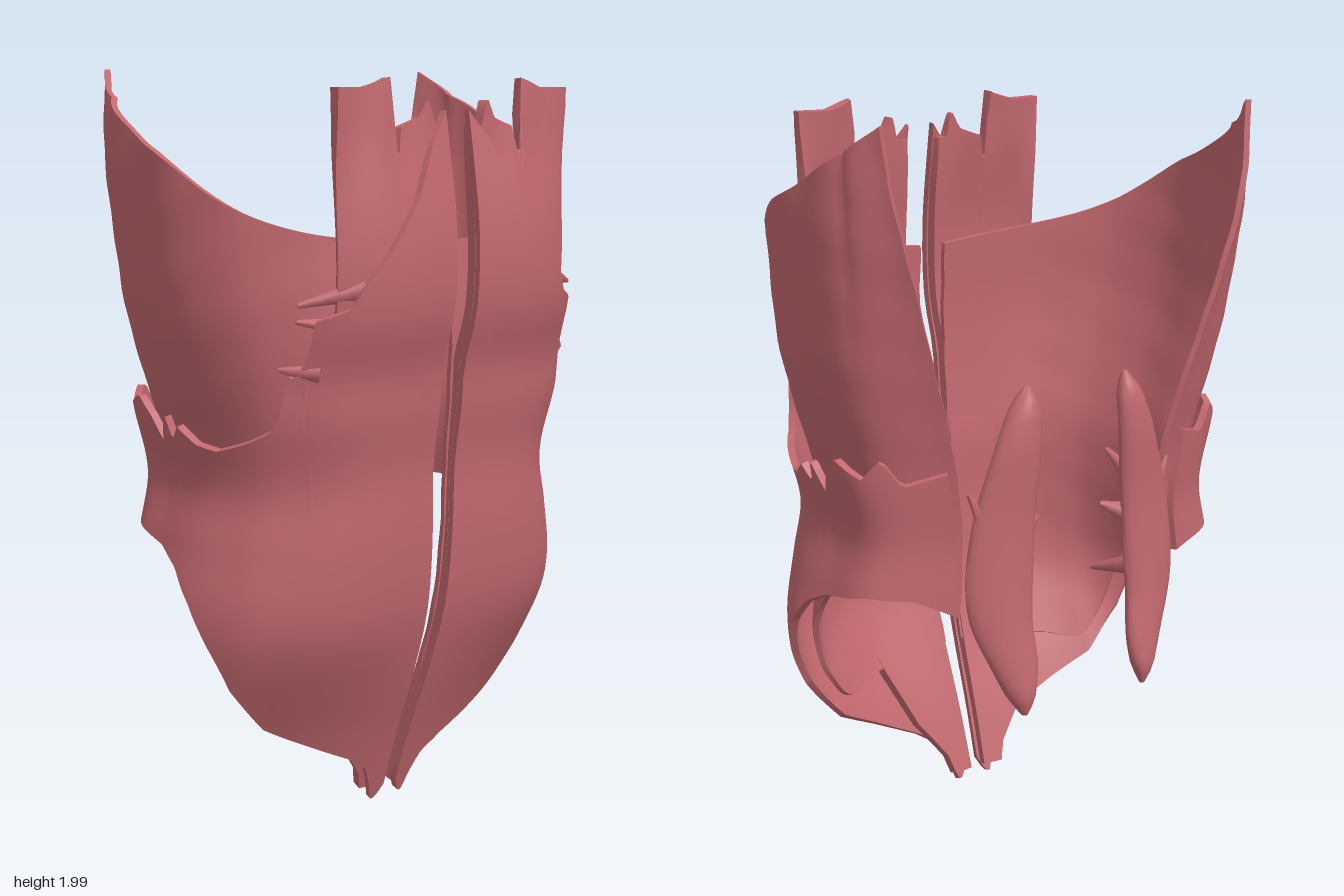
import * as THREE from 'three';
import { toCreasedNormals } from 'three/addons/utils/BufferGeometryUtils.js';

const { lerp, smoothstep } = THREE.MathUtils;

// Interpolate [key, value] knots, straight or smooth
function lerpKnots(knots, t, curved = false) {
  const n = knots.length - 1;
  if (t <= knots[0][0]) return knots[0][1];
  if (t >= knots[n][0]) return knots[n][1];
  let i = 0;
  while (t > knots[i + 1][0]) i++;
  const [a, p] = knots[i], [b, q] = knots[i + 1], h = b - a, s = (t - a) / h;
  if (!curved) return p + (q - p) * s;
  const slope = j => {
    const l = knots[Math.max(j - 1, 0)], r = knots[Math.min(j + 1, n)];
    return (r[1] - l[1]) / (r[0] - l[0]) * h;
  };
  const s2 = s * s, s3 = s2 * s;
  return (2 * s3 - 3 * s2 + 1) * p + (s3 - 2 * s2 + s) * slope(i)
    + (3 * s2 - 2 * s3) * q + (s3 - s2) * slope(i + 1);
}
const smooth = (knots, t) => lerpKnots(knots, t, true);

// Closed sheet of even thickness over point(u, v)
function slab(point, thickness, nu, nv) {
  const outer = [], index = [], w = nv + 1, count = (nu + 1) * w;
  for (let i = 0; i <= nu; i++)
    for (let j = 0; j <= nv; j++) outer.push(...point(i / nu, j / nv));
  for (let i = 0; i < nu; i++)
    for (let j = 0; j < nv; j++) {
      const a = i * w + j, b = a + w, c = b + 1, d = a + 1;
      index.push(a, b, c, a, c, d);
    }
  const face = new THREE.BufferGeometry();
  face.setAttribute('position', new THREE.Float32BufferAttribute(outer, 3));
  face.setIndex(index);
  face.computeVertexNormals();
  const normal = face.attributes.normal.array;
  const inner = outer.map((c, i) => c - normal[i] * thickness);
  const all = index.slice();
  for (let i = 0; i < index.length; i += 3)
    all.push(index[i] + count, index[i + 2] + count, index[i + 1] + count);
  const rim = (a, b) => all.push(a, a + count, b + count, a, b + count, b);
  for (let i = 0; i < nu; i++) {
    rim(i * w, (i + 1) * w);
    rim((i + 1) * w + nv, i * w + nv);
  }
  for (let j = 0; j < nv; j++) {
    rim(j + 1, j);
    rim(nu * w + j, nu * w + j + 1);
  }
  const g = new THREE.BufferGeometry();
  g.setAttribute('position', new THREE.Float32BufferAttribute(outer.concat(inner), 3));
  g.setIndex(all);
  return g;
}

// Body section from front midline (0) round the side (5) to the back (8)
const sectionX = [[0, 0], [1, .3], [2, .55], [3, .75], [4, .9], [5, 1], [6, 1], [7, .94], [8, .6]];
const sectionZ = [[0, .96], [1, 1], [2, .94], [3, .77], [4, .54], [5, .15], [6, -.25], [7, -.67], [8, -.94]];
const frontZ = [[0, .13], [.2, .2], [.4, .28], [.6, .345], [.8, .368], [1, .372], [1.15, .397], [1.25, .405],
  [1.4, .452], [1.6, .458], [1.8, .428], [2, .39]];
const midX = y => .02 + .018 * Math.min(y, 1);
// The low belly edge curls backward away from the midline
const curl = (cx, y) => .055 * Math.min(1, cx / .75) * (1 - smoothstep(y, .25, .6));

// Outer flank and belly sheet
const outerX = [[0, .45], [.15, .5], [.3, .56], [.48, .595], [.65, .605], [.8, .575], [.95, .545], [1.15, .59], [1.4, .6], [2, .6]];
const outerTop = [[0, 1.9], [.35, 1.82], [.75, 1.69], [1.4, 1.56], [1.9, 1.48], [2.1, 1.43], [2.75, 1.4], [2.8, 1.3],
  [2.95, 1.26], [3.1, 1.26], [3.25, 1.17], [3.5, 1.12], [4, 1.09], [4.6, 1.06], [5, 1.07], [5.4, 1.11], [5.65, 1.07],
  [5.75, 1.14], [6, 1.06], [6.2, 1.12], [6.5, 1.17], [7, 1.13], [7.3, 1.18], [7.5, 1.11], [8, 1.14]];
const outerBottom = [[0, .05], [.12, .02], [.25, 0], [.4, .07], [.55, .12], [1, .165], [2, .235], [3, .3], [4, .43],
  [4.6, .56], [5, .66], [5.5, .74], [6, .78], [7, .815], [8, .8]];
function outerPoint(u, v) {
  const k = u * 8;
  const y = lerp(lerpKnots(outerBottom, k), lerpKnots(outerTop, k), v);
  const m = midX(y), cx = smooth(sectionX, k), cz = smooth(sectionZ, k);
  return [m + cx * (smooth(outerX, y) - m), y,
    cz > 0 ? cz * smooth(frontZ, y) - curl(cx, y) * Math.min(1, cz * 3) : cz * .39];
}

// Inner wall, rising to the high back corner
const innerX = [[.4, .53], [.6, .535], [.8, .5], [1, .495], [1.2, .55], [1.4, .6], [1.6, .62], [1.8, .63], [2, .62]];
const innerZ = [[.3, .21], [.4, .245], [.6, .305], [.8, .33], [1, .335], [1.2, .35], [1.4, .355], [1.6, .345], [2, .34]];
const innerBackZ = [[.7, .36], [1.05, .365], [1.35, .4], [1.7, .43], [2, .4]];
const innerTop = [[0, 1.57], [2, 1.6], [3, 1.63], [4, 1.68], [5, 1.77], [6, 1.84], [7, 1.93], [8, 2]];
const innerBottom = [[0, .4], [2, .37], [3, .36], [4, .47], [5, .69], [6, .79], [7, .81], [8, .74]];
function innerPoint(u, v) {
  const k = u * 8;
  const y = lerp(smooth(innerBottom, k), smooth(innerTop, k), v);
  const m = midX(y), cx = smooth(sectionX, k), cz = smooth(sectionZ, k);
  const widen = .28 * smoothstep(y, 1.1, 2.1) * Math.max(0, k - 7);
  const ripple = .0015 * Math.sin(y * 40 + k * 2);
  return [m + (cx + widen) * (smooth(innerX, y) - m) + ripple, y,
    cz > 0 ? cz * smooth(innerZ, y) - curl(cx, y) * Math.min(1, cz * 3) : cz * smooth(innerBackZ, y)];
}

// Long front strap with torn upper ends, lying just under the outer sheet
const strapWidth = [[0, .07], [.1, .1], [.2, .18], [.35, .25], [.6, .34], [.9, .38], [2, .38]];
const strapTop = [[0, 1.86], [.1, 1.86], [.17, 1.93], [.25, 1.88], [.42, 1.86], [.46, 1.8], [.49, 1.8],
  [.51, 1.98], [.75, 1.955], [1, 1.955]];
const strapSection = sectionX.slice(0, 5).map(([, x], i) => [x, sectionZ[i][1]]);
function strapPoint(u, v) {
  const y = lerp(.04, lerpKnots(strapTop, u), v), m = midX(y) + .005;
  const x = m + u * (lerpKnots(strapWidth, y) - m);
  const cx = (x - m) / (smooth(outerX, y) - m);
  const cz = lerp(smooth(strapSection, cx), 1, smoothstep(y, 1.6, 2));
  const bulge = .006 * Math.sin(u * 14) * smoothstep(y, 1.7, 1.9);
  return [x, y, cz * smooth(frontZ, y) - curl(cx, y) - lerp(.024, .006, smoothstep(y, 1.8, 2)) + bulge];
}

// Tapered slip between two points
function slip(from, to, radius) {
  const a = new THREE.Vector3(...from), b = new THREE.Vector3(...to), dir = b.clone().sub(a);
  const g = new THREE.CylinderGeometry(radius * .25, radius, dir.length(), 8, 3);
  g.applyQuaternion(new THREE.Quaternion().setFromUnitVectors(new THREE.Vector3(0, 1, 0), dir.normalize()));
  const c = a.add(b).multiplyScalar(.5);
  return g.translate(c.x, c.y, c.z);
}

// Lower back muscle: flattened ellipses stacked upward
const backX = [[.48, .19], [.6, .205], [.75, .235], [.95, .225], [1.15, .19], [1.34, .15]];
const backW = [[.48, .008], [.54, .04], [.65, .07], [.8, .088], [.95, .085], [1.15, .065], [1.28, .04], [1.34, .008]];
const backZ = [[.48, -.445], [.6, -.425], [.75, -.4], [1, -.39], [1.2, -.4], [1.34, -.39]];
function backMuscle() {
  const g = new THREE.CylinderGeometry(1, 1, .86, 20, 30), p = g.attributes.position;
  for (let i = 0; i < p.count; i++) {
    const y = p.getY(i) + .91, w = smooth(backW, y);
    p.setXYZ(i, smooth(backX, y) + p.getX(i) * w, y,
      smooth(backZ, y) + p.getZ(i) * Math.min(w, .033) + p.getX(i) * w * .2);
  }
  return g;
}

export function createModel() {
  const root = new THREE.Group();
  const material = new THREE.MeshStandardMaterial({ color: 0xc2686e, side: THREE.DoubleSide });

  // Each part is added on the left and mirrored to the right
  function addPair(name, geometry) {
    const mirrored = geometry.clone().scale(-1, 1, 1);
    const idx = mirrored.index.array;
    for (let i = 0; i < idx.length; i += 3) [idx[i], idx[i + 1]] = [idx[i + 1], idx[i]];
    for (const [side, g] of [['left', geometry], ['right', mirrored]]) {
      const mesh = new THREE.Mesh(toCreasedNormals(g, .8), material);
      mesh.name = side + name;
      root.add(mesh);
    }
  }

  addPair('OuterFlankSheet', slab(outerPoint, .02, 120, 30));
  addPair('InnerWall', slab(innerPoint, .015, 80, 30));
  addPair('FrontStrap', slab(strapPoint, .03, 50, 36));
  addPair('LowerBackMuscle', backMuscle());

  // Pointed slips on the lower back muscle and at the torn front edge
  const backSlips = [
    [[.2, .8, -.39], [.15, .76, -.26], .03],
    [[.17, .95, -.39], [.1, .98, -.36], .03],
    [[.18, 1.05, -.39], [.17, 1.1, -.29], .025],
    [[.25, .95, -.38], [.31, 1.08, -.37], .025],
  ];
  const frontSlips = [
    [[.31, 1.475, .41], [.46, 1.44, .335], .028],
    [[.35, 1.385, .385], [.46, 1.4, .33], .025],
    [[.4, 1.27, .345], [.48, 1.28, .285], .025],
  ];
  backSlips.forEach(s => addPair('BackSlip', slip(...s)));
  frontSlips.forEach(s => addPair('FrontSlip', slip(...s)));
  return root;
}
